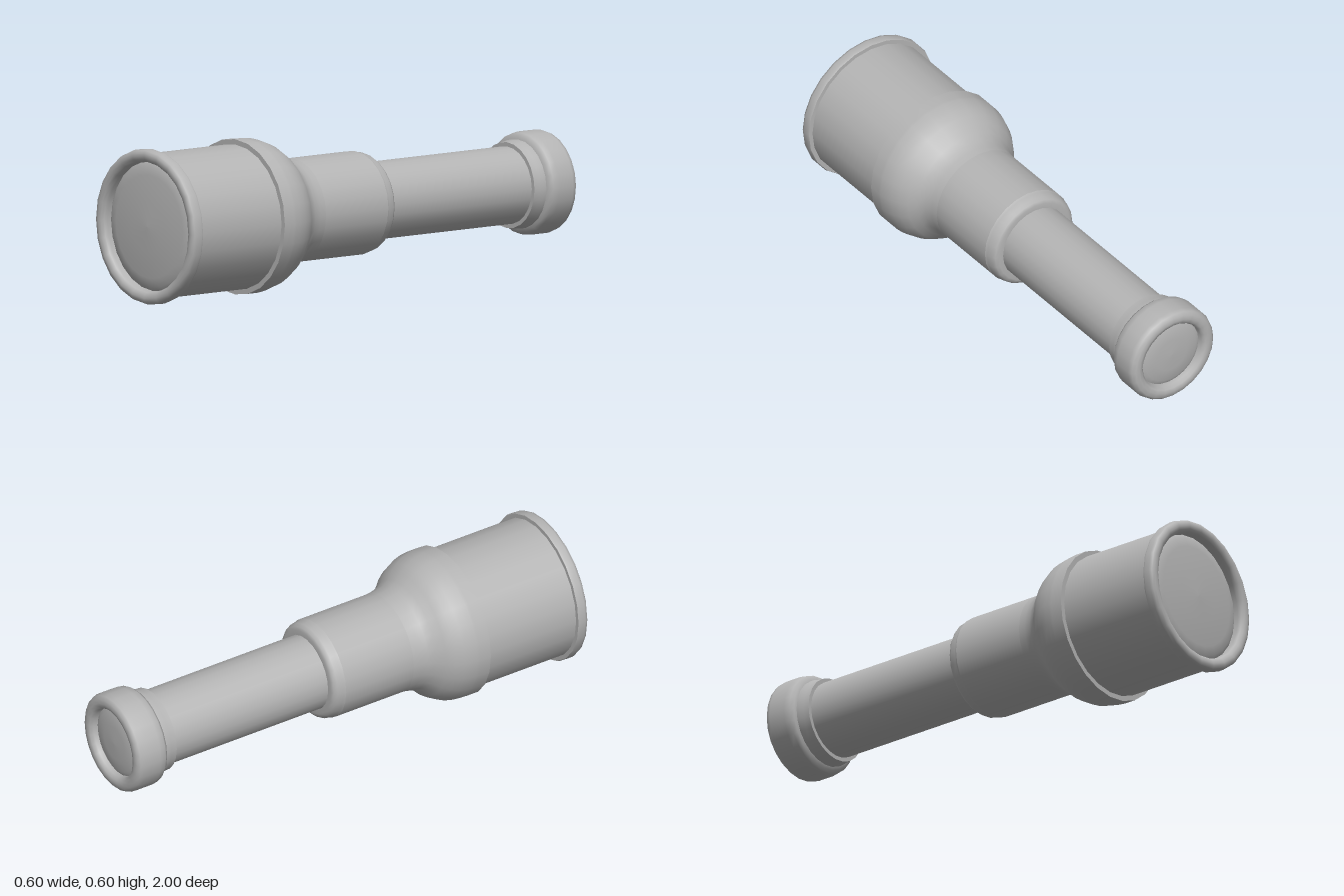
import * as THREE from 'three';

const SIDES = 24;
const AXIS_HEIGHT = 0.3;

export function createModel() {
  const model = new THREE.Group();
  model.name = 'spyglass';
  const grey = new THREE.MeshStandardMaterial({ color: 0xb4b4b4 });
  grey.name = 'grey';

  // Turns a profile of [radius, z] points, listed back to front, about the z axis
  function turned(name, profile) {
    const points = profile.map(([r, z]) => new THREE.Vector2(r, z));
    const geometry = new THREE.LatheGeometry(points, SIDES);
    geometry.rotateX(Math.PI / 2);
    const mesh = new THREE.Mesh(geometry, grey);
    mesh.name = name;
    mesh.position.y = AXIS_HEIGHT;
    model.add(mesh);
  }

  // Eyepiece: recessed lens, rounded cup and stepped collar
  turned('eyeLens', [[0, -0.985], [0.07, -0.983], [0.12, -0.977], [0.142, -0.965]]);
  turned('eyeCup', [
    [0.138, -0.96], [0.14, -0.985], [0.15, -0.997], [0.165, -1], [0.182, -0.998],
    [0.194, -0.988], [0.2, -0.97], [0.2, -0.9], [0.196, -0.875], [0.185, -0.862], [0.165, -0.858],
  ]);
  turned('eyeCollar', [[0.172, -0.865], [0.172, -0.845], [0.168, -0.83], [0.166, -0.805]]);
  turned('eyeCollarFace', [[0.166, -0.805], [0.145, -0.805]]);

  // Narrow draw tube
  turned('drawTube', [[0.15, -0.87], [0.15, -0.07]]);

  // Middle tube with a rounded lip, flaring into the wide shoulder
  turned('middleTubeLip', [
    [0.148, -0.1], [0.17, -0.1], [0.183, -0.095], [0.192, -0.083], [0.196, -0.06], [0.2, -0.05],
  ]);
  turned('middleTube', [[0.2, -0.05], [0.2, 0.26]]);
  turned('shoulder', [
    [0.2, 0.26], [0.203, 0.29], [0.21, 0.32], [0.226, 0.35], [0.253, 0.375], [0.274, 0.405],
    [0.288, 0.435], [0.296, 0.465], [0.299, 0.49],
  ]);
  turned('shoulderBand', [[0.299, 0.49], [0.3, 0.5], [0.3, 0.548]]);
  turned('shoulderFace', [[0.3, 0.548], [0.275, 0.548]]);

  // Wide barrel
  turned('barrel', [[0.28, 0.53], [0.28, 0.965]]);

  // Rounded front rim around the recessed lens
  turned('frontRimBack', [[0.275, 0.952], [0.297, 0.952]]);
  turned('frontRim', [
    [0.297, 0.952], [0.3, 0.96], [0.3, 0.982], [0.296, 0.993], [0.286, 0.999], [0.275, 1],
    [0.262, 0.997], [0.253, 0.988], [0.25, 0.975], [0.25, 0.95],
  ]);
  turned('frontLens', [[0.252, 0.955], [0.235, 0.967], [0.2, 0.974], [0.1, 0.982], [0, 0.985]]);

  return model;
}
